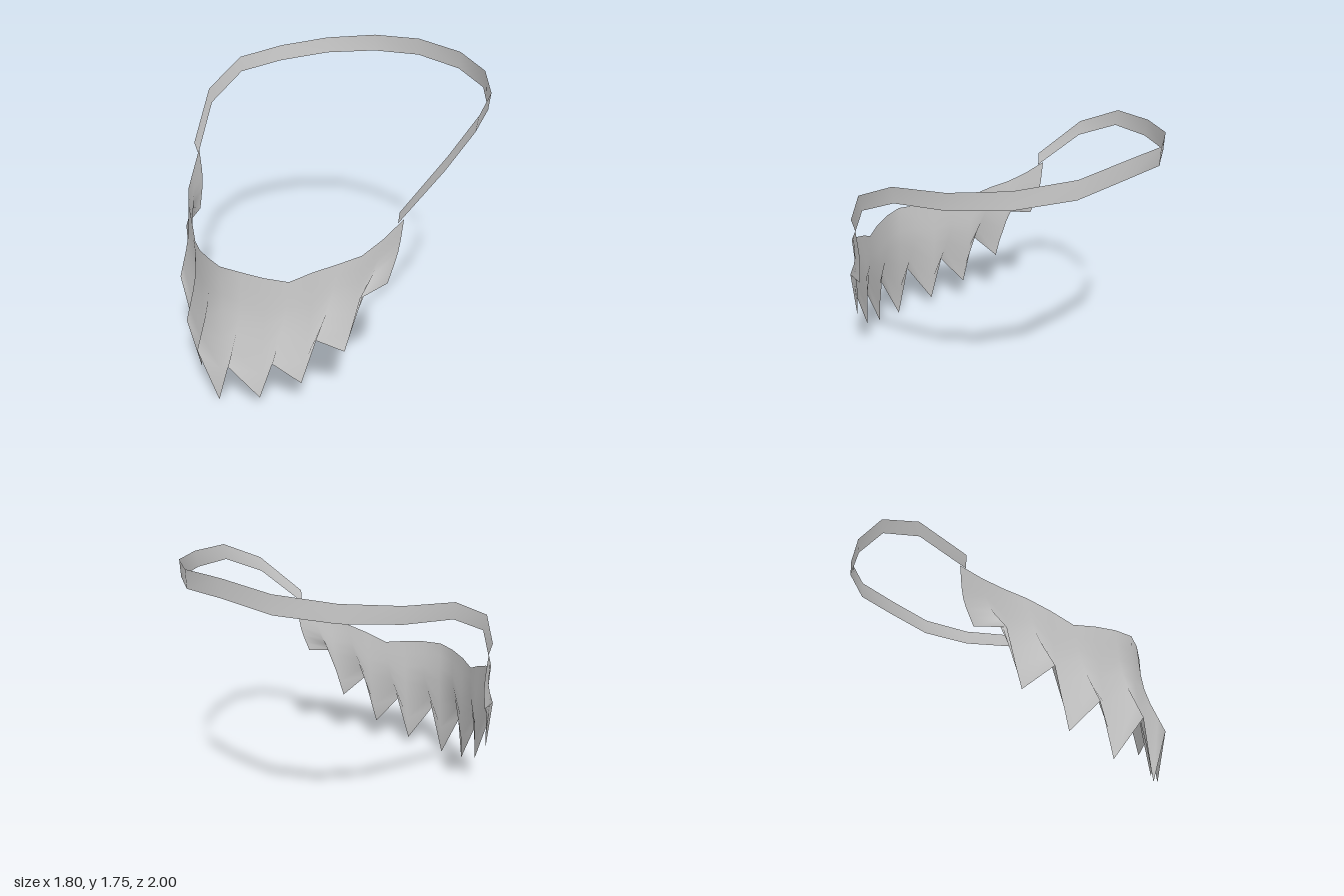
import * as THREE from 'three';

// Smooth open sheet from equal-length columns of points
function sheet(columns, material, name) {
  const rows = columns[0].length;
  const positions = [];
  const index = [];
  columns.forEach((column, i) => {
    column.forEach((p, j) => {
      positions.push(p.x, p.y, p.z);
      if (i === 0 || j === 0) return;
      const d = i * rows + j, c = d - 1, b = d - rows, a = b - 1;
      index.push(a, b, c, c, b, d);
    });
  });
  const geometry = new THREE.BufferGeometry();
  geometry.setAttribute('position', new THREE.Float32BufferAttribute(positions, 3));
  geometry.setIndex(index);
  geometry.computeVertexNormals();
  const mesh = new THREE.Mesh(geometry, material);
  mesh.name = name;
  return mesh;
}

// Complete a centre-to-left list of columns with its mirrored right half
function mirrored(half) {
  const other = half.slice(1).reverse().map((column) =>
    column.map((p) => new THREE.Vector3(-p.x, p.y, p.z)));
  return [...other, ...half];
}

const vec = (p) => new THREE.Vector3(...p);

export function createModel() {
  const cloth = new THREE.MeshStandardMaterial({ color: 0xcccccc, side: THREE.DoubleSide });
  cloth.name = 'pale grey cloth';
  const model = new THREE.Group();
  model.name = 'jaggedBib';

  // Pleated panel: top, middle and hem of each column; tips and notches alternate
  const panel = [
    [[0, 0.88, 0.9], [0, 0.6, 0.9], [0, 0.01, 0.967]],
    [[0.125, 0.875, 0.867], [0.125, 0.6, 0.893], [0.125, 0.32, 1.0]],
    [[0.25, 0.86, 0.815], [0.245, 0.55, 0.825], [0.24, 0.085, 0.873]],
    [[0.365, 0.845, 0.742], [0.355, 0.62, 0.775], [0.345, 0.37, 0.873]],
    [[0.47, 0.91, 0.665], [0.457, 0.6, 0.68], [0.44, 0.205, 0.738]],
    [[0.58, 0.965, 0.585], [0.563, 0.76, 0.625], [0.54, 0.537, 0.73]],
    [[0.67, 1.01, 0.5], [0.65, 0.75, 0.51], [0.622, 0.415, 0.577]],
    [[0.73, 1.085, 0.395], [0.71, 0.92, 0.425], [0.683, 0.762, 0.528]],
    [[0.785, 1.18, 0.285], [0.763, 0.98, 0.293], [0.74, 0.798, 0.35]],
  ].map((points) => new THREE.CatmullRomCurve3(points.map(vec)).getPoints(6));
  model.add(sheet(mirrored(panel), cloth, 'jaggedPanel'));

  // Neck strap: upper and lower edge points from the back centre to the panel
  const strap = [
    [[0, 1.757, -1], [0, 1.65, -1]],
    [[0.335, 1.735, -0.967], [0.333, 1.627, -0.965]],
    [[0.613, 1.705, -0.795], [0.61, 1.602, -0.793]],
    [[0.803, 1.673, -0.535], [0.797, 1.573, -0.525]],
    [[0.899, 1.642, -0.235], [0.888, 1.547, -0.23]],
    [[0.896, 1.5, 0.065], [0.882, 1.41, 0.06]],
    [[0.782, 1.235, 0.325], [0.766, 1.16, 0.312]],
  ].map((edges) => edges.map(vec));
  // Reversed so the outer face points away from the neck
  model.add(sheet(mirrored(strap).reverse(), cloth, 'neckStrap'));

  return model;
}
